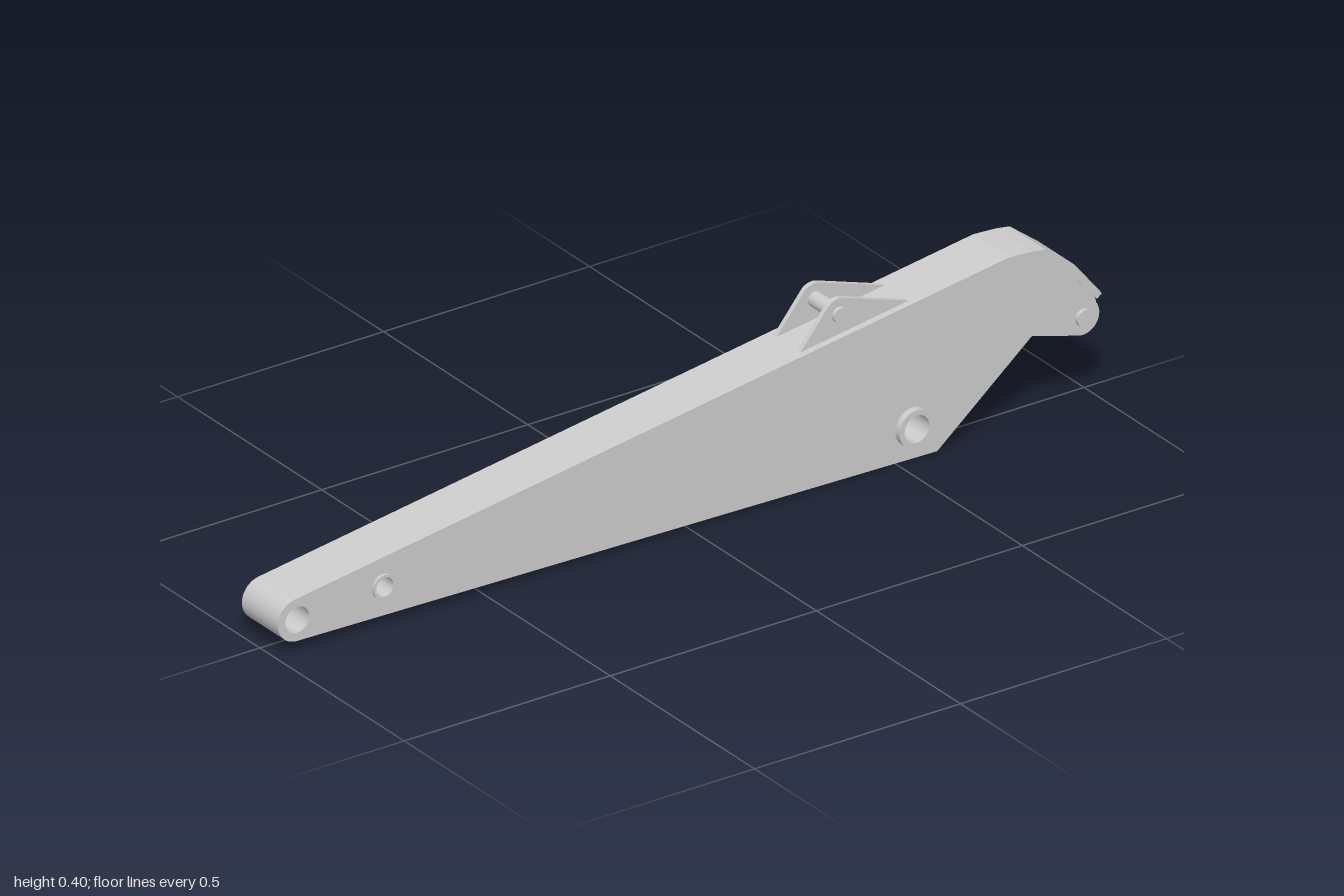
import * as THREE from 'three';

const HALF = 0.0625; // half width of the arm
const material = new THREE.MeshStandardMaterial({ color: 0xcccccc, flatShading: true });

// Closed outline from [x, y] points
const outline = (pts) => new THREE.Shape(pts.map(([x, y]) => new THREE.Vector2(x, y)));

function addHole(shape, x, y, r) {
  const hole = new THREE.Path();
  hole.absarc(x, y, r, 0, Math.PI * 2, true);
  shape.holes.push(hole);
}

// Plate cut from an outline, spanning z0 to z1
function plate(name, shape, z0, z1) {
  const geo = new THREE.ExtrudeGeometry(shape, { depth: z1 - z0, bevelEnabled: false, curveSegments: 20 });
  geo.translate(0, 0, z0);
  const mesh = new THREE.Mesh(geo, material);
  mesh.name = name;
  return mesh;
}

// The same plate on the left and right face of the arm
function platePair(name, shape, inner, outer) {
  const group = new THREE.Group();
  group.name = name;
  group.add(plate(name + 'Front', shape, inner, outer), plate(name + 'Back', shape, -outer, -inner));
  return group;
}

// Cross pin along z
function pin(name, x, y, r, halfLength) {
  const geo = new THREE.CylinderGeometry(r, r, halfLength * 2, 20);
  geo.rotateX(Math.PI / 2);
  const mesh = new THREE.Mesh(geo, material);
  mesh.position.set(x, y, 0);
  mesh.name = name;
  return mesh;
}

export function createModel() {
  const model = new THREE.Group();
  model.name = 'excavatorArm';

  // Bores with raised collars: x, y, bore, collar radius, collar reach
  const bosses = [
    [-0.745, 0.09, 0.021, 0.027, 0.069],
    [0.54, 0.073, 0.03, 0.042, 0.078],
  ];

  // Tapered box body with a rounded pivot end
  const body = new THREE.Shape();
  body.absarc(-0.953, 0.075, 0.047, 1.72, 4.69, false);
  [[0.6, 0], [0.83, 0.19], [0.955, 0.292], [0.932, 0.32], [0.863, 0.373], [0.83, 0.378], [0.775, 0.381]]
    .forEach(([x, y]) => body.lineTo(x, y));
  addHole(body, -0.953, 0.075, 0.029);
  bosses.forEach(([x, y, bore]) => addHole(body, x, y, bore));
  model.add(plate('armBody', body, -HALF, HALF));

  // Collars around the bores
  bosses.forEach(([x, y, bore, radius, reach], i) => {
    const ring = new THREE.Shape();
    ring.absarc(x, y, radius, 0, Math.PI * 2, false);
    addHole(ring, x, y, bore);
    model.add(platePair(i ? 'cylinderCollar' : 'linkCollar', ring, HALF - 0.002, reach));
  });

  // Top plate overhanging the open nose
  const lip = outline([[0.955, 0.292], [0.942, 0.281], [0.9875, 0.227], [1, 0.236]]);
  model.add(plate('noseLip', lip, -HALF, HALF));

  // Nose cheeks, set slightly inside the body sides, and their pin
  const cheek = outline([[0.955, 0.288], [0.825, 0.19]]);
  cheek.absarc(0.955, 0.195, 0.04, -1.87, 0.6, false);
  cheek.lineTo(0.984, 0.232);
  model.add(platePair('noseCheek', cheek, 0.05, 0.06));
  model.add(pin('nosePin', 0.955, 0.195, 0.019, 0.07));

  // Bracket ears on the top face, and their pin
  const ear = outline([[0.278, 0.305], [0.285, 0.301], [0.54, 0.34], [0.54, 0.346]]);
  ear.absarc(0.372, 0.365, 0.035, 1.25, 2.44, false);
  model.add(platePair('bracketEar', ear, 0.036, 0.047));
  model.add(pin('bracketPin', 0.372, 0.365, 0.017, 0.056));

  return model;
}
